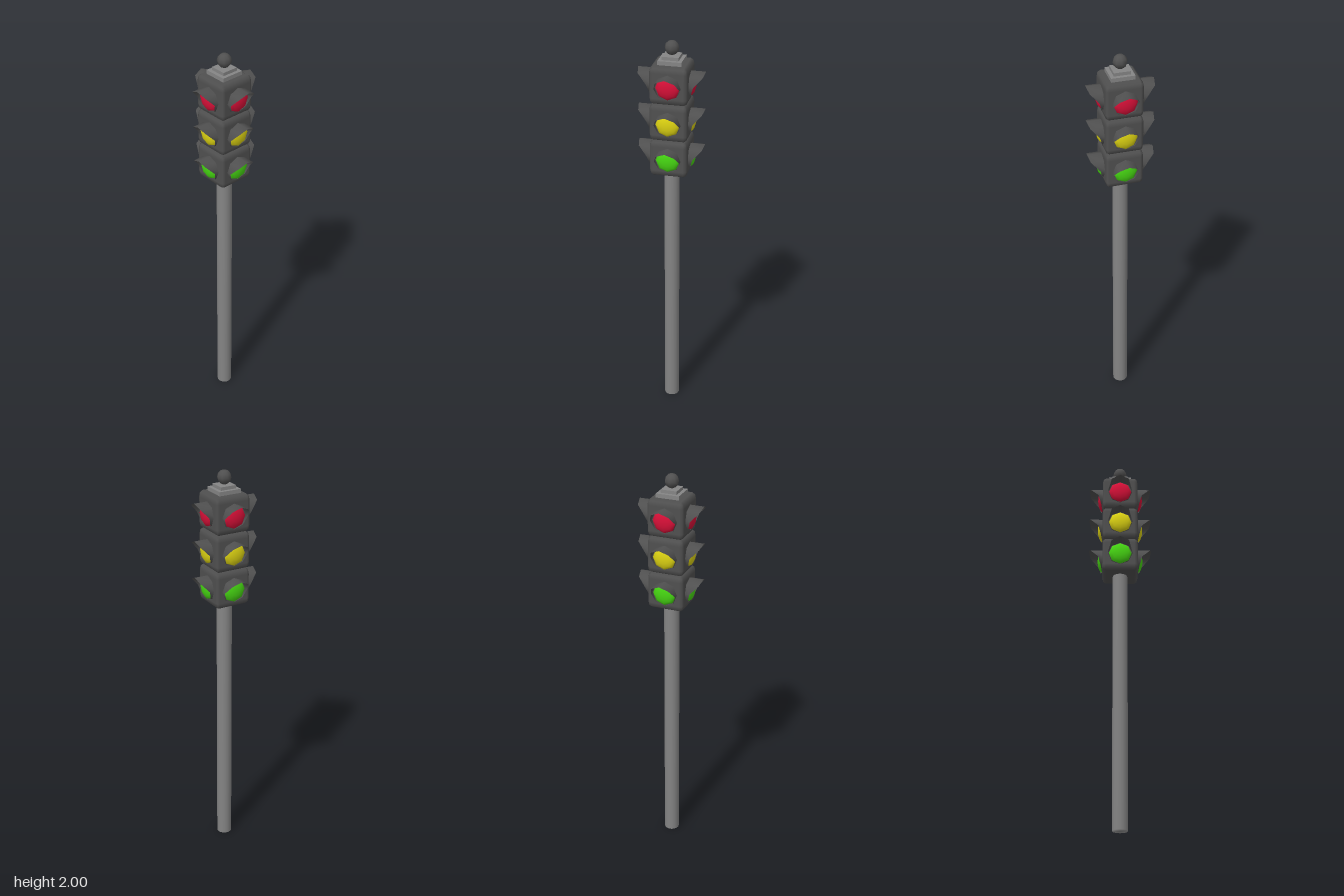
import * as THREE from 'three';
import { RoundedBoxGeometry } from 'three/addons/geometries/RoundedBoxGeometry.js';

const material = (name, color, side = THREE.FrontSide) => {
  const m = new THREE.MeshStandardMaterial({ color, side });
  m.name = name;
  return m;
};

// Hood: eight-sided tube whose front rim is cut back towards the bottom
function hoodGeometry(radius, back) {
  const reach = [0.163, 0.155, 0.114, 0.1, 0.093, 0.1, 0.114, 0.155]; // clockwise from the top
  const g = new THREE.CylinderGeometry(radius, radius, 1, 8, 1, true);
  g.rotateX(Math.PI / 2);
  const p = g.attributes.position;
  for (let i = 0; i < p.count; i++) {
    const step = Math.round(Math.atan2(p.getX(i), p.getY(i)) / (Math.PI / 4));
    p.setZ(i, p.getZ(i) > 0 ? reach[(step + 8) % 8] : back);
  }
  g.computeVertexNormals();
  return g;
}

export function createModel() {
  const model = new THREE.Group();
  model.name = 'trafficLight';

  const steel = material('steelGrey', 0x858585);
  const dark = material('darkGrey', 0x505050);
  const hoodDark = material('darkGrey', 0x505050, THREE.DoubleSide);
  const lamps = [
    ['red', material('red', 0xd81038)],
    ['yellow', material('yellow', 0xdcd212)],
    ['green', material('green', 0x46d612)],
  ];

  const add = (parent, name, geometry, mat, x = 0, y = 0, z = 0) => {
    const mesh = new THREE.Mesh(geometry, mat);
    mesh.name = name;
    mesh.position.set(x, y, z);
    parent.add(mesh);
    return mesh;
  };

  // Pole
  const profile = [[0, 0], [0.038, 0], [0.038, 1.36]].map(([x, y]) => new THREE.Vector2(x, y));
  add(model, 'pole', new THREE.LatheGeometry(profile, 16), steel);

  // Shared shapes: bevelled housing, domed lens, hood
  const housing = new RoundedBoxGeometry(0.184, 0.185 / 1.7, 0.184, 1, 0.018);
  housing.scale(1, 1.7, 1);
  const lens = new THREE.SphereGeometry(1, 8, 4, 0, Math.PI * 2, 0, Math.PI / 2);
  lens.rotateX(Math.PI / 2);
  lens.scale(0.06, 0.06, 0.027);
  const hood = hoodGeometry(0.0625, 0.085);

  // Three stacked lamp units, each with a lens and hood on all four sides
  lamps.forEach(([name, lampMaterial], i) => {
    const unit = new THREE.Group();
    unit.name = name + 'Unit';
    unit.position.y = 1.802 - i * 0.1845;
    add(unit, 'housing', housing, dark);
    for (let k = 0; k < 4; k++) {
      const face = new THREE.Group();
      face.name = name + 'Face' + (k + 1);
      face.rotation.y = k * Math.PI / 2;
      add(face, name + 'Lens', lens, lampMaterial, 0, -0.004, 0.09);
      add(face, 'hood', hood, hoodDark, 0, -0.004, 0);
      unit.add(face);
    }
    model.add(unit);
  });

  // Stepped cap and ball finial
  add(model, 'lowerCap', new THREE.BoxGeometry(0.115, 0.03, 0.115), steel, 0, 1.899, 0);
  add(model, 'upperCap', new THREE.BoxGeometry(0.08, 0.02, 0.08), steel, 0, 1.92, 0);
  add(model, 'finialStem', new THREE.CylinderGeometry(0.008, 0.008, 0.03, 8), dark, 0, 1.935, 0);
  add(model, 'finialBall', new THREE.SphereGeometry(0.035, 8, 6), dark, 0, 1.965, 0);

  return model;
}
